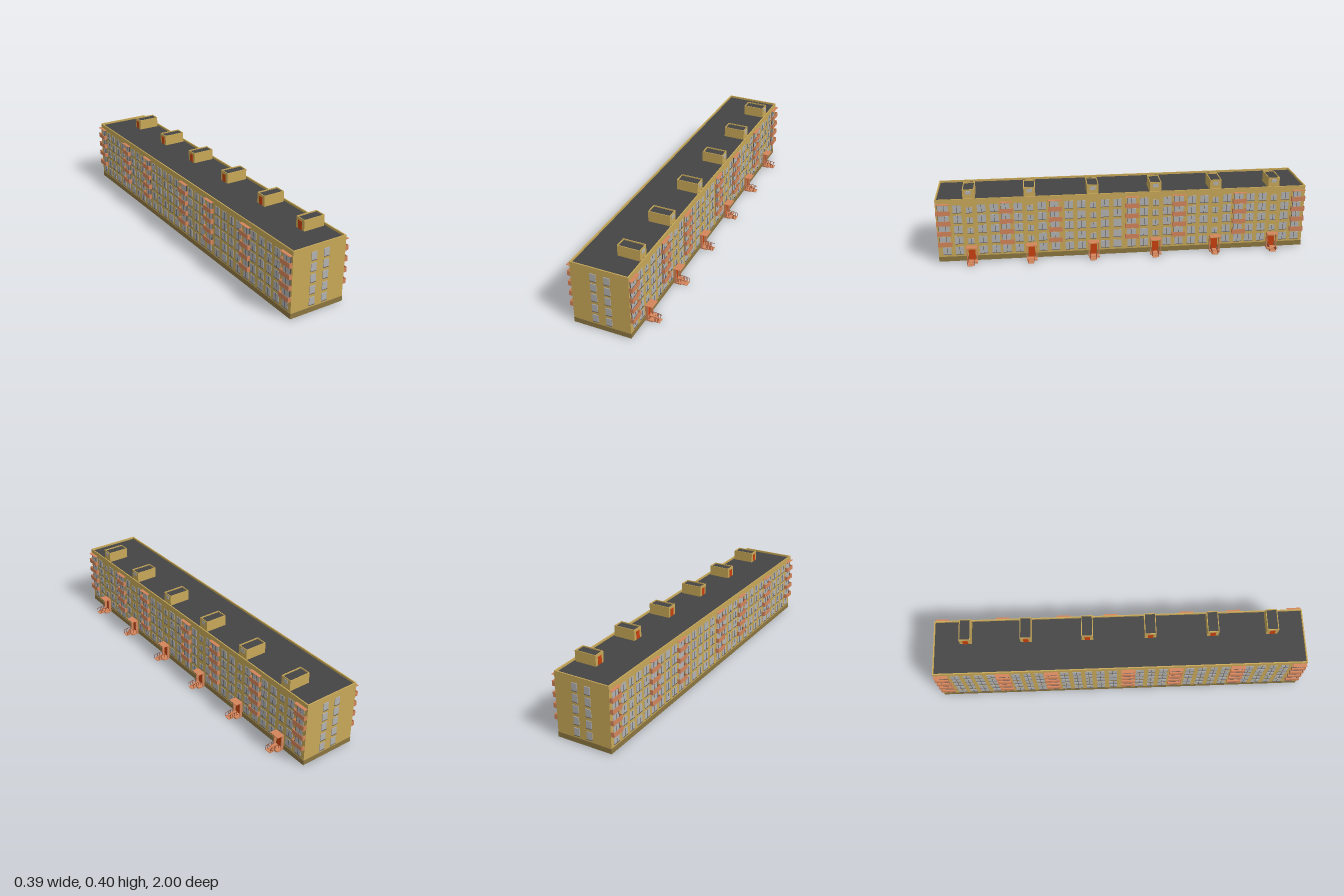
import * as THREE from 'three';
import { mergeGeometries } from 'three/addons/utils/BufferGeometryUtils.js';

const mat = (color, side = THREE.FrontSide) => new THREE.MeshStandardMaterial({ color, side, flatShading: true });
const WALL = mat(0xc8a858), PLINTH = mat(0x8c7640), ROOF = mat(0x444444), GLASS = mat(0xb2b2b2),
  FRAME = mat(0x55555a), ORANGE = mat(0xd3845a), DOOR = mat(0xc8400f), RAIL = mat(0x8a4a35);

// Box geometry given by its minimum and maximum corners
function box(x0, x1, y0, y1, z0, z1) {
  return new THREE.BoxGeometry(x1 - x0, y1 - y0, z1 - z0)
    .translate((x0 + x1) / 2, (y0 + y1) / 2, (z0 + z1) / 2);
}

function addPart(parent, name, material, geometries) {
  const mesh = new THREE.Mesh(mergeGeometries(geometries), material);
  mesh.name = name;
  parent.add(mesh);
}

// Walls standing as a ring, leaving the middle open for a sunken roof
function ring(x0, x1, y0, y1, z0, z1, t) {
  return [
    box(x0, x0 + t, y0, y1, z0, z1), box(x1 - t, x1, y0, y1, z0, z1),
    box(x0 + t, x1 - t, y0, y1, z0, z0 + t), box(x0 + t, x1 - t, y0, y1, z1 - t, z1),
  ];
}

const X0 = -0.18, X1 = 0.125, ZE = 0.995, TOP = 0.355;
const STAIRS = [0.82, 0.502, 0.167, -0.171, -0.499, -0.822];
const FLOORS = [0.064, 0.124, 0.185, 0.243, 0.301];
const BALCONIES = [0.957, 0.628, 0.37, -0.042, -0.298, -0.63, -0.957];

// One long facade: s = 1 for the entrance side, -1 for the opposite side
function facade(s) {
  const group = new THREE.Group();
  group.name = s > 0 ? 'entranceFacade' : 'rearFacade';
  const wall = s > 0 ? X1 : X0;
  // Box measured outward from the wall by distances a to b
  const out = (a, b, y0, y1, z0, z1) =>
    box(Math.min(wall + s * a, wall + s * b), Math.max(wall + s * a, wall + s * b), y0, y1, z0, z1);
  const glass = [], frames = [], panels = [];

  const windowAt = (y, z, w, h) => {
    glass.push(out(-0.002, 0.002, y - h / 2, y + h / 2, z - w / 2, z + w / 2));
    frames.push(out(0, 0.003, y - h / 2, y + h / 2, z - 0.001, z + 0.001));
    frames.push(out(0, 0.004, y - h / 2 - 0.002, y - h / 2, z - w / 2, z + w / 2));
  };
  for (const zs of STAIRS) {
    for (const dz of [-0.13, -0.063, 0.063, 0.13])
      for (const y of FLOORS) windowAt(y, zs + dz, 0.044, 0.041);
    if (s > 0) for (const y of FLOORS.slice(1)) windowAt(y - 0.008, zs, 0.032, 0.03);
    else for (const y of FLOORS) windowAt(y, zs, 0.036, 0.041);
  }

  for (const b of BALCONIES) {
    const z = b * s, h = 0.037;
    for (const y of FLOORS.slice(1)) {
      const y0 = y - 0.03, y1 = y - 0.004;
      panels.push(
        out(0, 0.018, y0, y0 + 0.003, z - h, z + h),
        out(0.016, 0.018, y0, y1, z - h, z + h),
        out(0, 0.018, y0, y1, z - h, z - h + 0.002),
        out(0, 0.018, y0, y1, z + h - 0.002, z + h));
      // Balcony door beside the window
      glass.push(out(-0.002, 0.0025, y0 + 0.003, y + 0.024, z + 0.008, z + 0.026));
      frames.push(out(0, 0.004, y0, y + 0.026, z + 0.026, z + 0.028));
    }
    // Canopy over the top balcony
    panels.push(out(0, 0.018, 0.33, 0.332, z - h, z + h));
  }
  addPart(group, 'windows', GLASS, glass);
  addPart(group, 'windowFrames', FRAME, frames);
  addPart(group, 'balconies', ORANGE, panels);
  return group;
}

// Porch with side walls, canopy, door, steps and handrails
function entrance(z) {
  const group = new THREE.Group();
  group.name = 'entrance';
  group.position.z = z;
  const porch = [
    box(X1, 0.14, 0, 0.088, -0.029, -0.024), box(X1, 0.14, 0, 0.088, 0.024, 0.029),
    box(X1, 0.165, 0.087, 0.089, -0.029, 0.029),
    box(X1, 0.165, 0, 0.008, -0.029, 0.029),
    box(0.165, 0.18, 0, 0.005, -0.012, 0.023), box(0.18, 0.196, 0, 0.0025, -0.012, 0.023),
  ];
  addPart(group, 'porchAndSteps', ORANGE, porch);
  addPart(group, 'door', DOOR, [box(X1, 0.128, 0.008, 0.066, -0.018, 0.018)]);
  const rails = [];
  for (const rz of [-0.011, 0.022]) {
    for (let i = 0; i < 7; i++) {
      const x = 0.142 + i * 0.0085, top = x < 0.17 ? 0.028 : 0.028 - (x - 0.17) * 0.2;
      rails.push(box(x - 0.0006, x + 0.0006, 0.002, top, rz - 0.0006, rz + 0.0006));
    }
    rails.push(box(0.14, 0.17, 0.0275, 0.029, rz - 0.001, rz + 0.001));
    rails.push(new THREE.BoxGeometry(0.025, 0.0015, 0.002).rotateZ(-0.2).translate(0.182, 0.0258, rz));
  }
  addPart(group, 'handrails', RAIL, rails);
  return group;
}

// Stairwell hut on the roof
function roofHut(z) {
  const group = new THREE.Group();
  group.name = 'roofHut';
  group.position.z = z;
  addPart(group, 'hutWalls', WALL, [
    box(-0.008, 0.111, 0.34, 0.394, -0.031, 0.031),
    ...ring(-0.008, 0.111, 0.394, 0.402, -0.031, 0.031, 0.004),
  ]);
  addPart(group, 'hutRoof', ROOF, [box(-0.004, 0.107, 0.393, 0.396, -0.027, 0.027)]);
  addPart(group, 'hutDoor', DOOR, [box(-0.01, -0.007, 0.346, 0.388, -0.014, 0.014)]);
  addPart(group, 'hutWindow', GLASS, [box(0.11, 0.113, 0.374, 0.393, -0.014, 0.014)]);
  return group;
}

export function createModel() {
  const model = new THREE.Group();
  model.name = 'apartmentBlock';

  // Main block with plinth, parapet and sunken roof
  addPart(model, 'plinth', PLINTH, [box(X0 - 0.001, X1 + 0.001, 0.003, 0.03, -ZE - 0.001, ZE + 0.001)]);
  addPart(model, 'walls', WALL, [
    box(X0, X1, 0.03, 0.341, -ZE, ZE),
    ...ring(X0, X1, 0.341, TOP, -ZE, ZE, 0.006),
  ]);
  addPart(model, 'roof', ROOF, [box(X0 + 0.006, X1 - 0.006, 0.34, 0.344, -ZE + 0.006, ZE - 0.006)]);

  // Windows on both end walls
  const glass = [], frames = [];
  for (const s of [1, -1])
    for (const x of [-0.06, 0.012])
      for (const y of FLOORS) {
        const z = s * (ZE + 0.001);
        glass.push(box(x - 0.0155, x + 0.0155, y - 0.02, y + 0.02, z - 0.002, z + 0.002));
        frames.push(box(x - 0.0155, x + 0.0155, y - 0.022, y - 0.02, z - 0.004, z + 0.004));
      }
  addPart(model, 'endWindows', GLASS, glass);
  addPart(model, 'endWindowSills', FRAME, frames);

  model.add(facade(1), facade(-1));
  for (const z of STAIRS) model.add(entrance(z), roofHut(z));
  return model;
}
